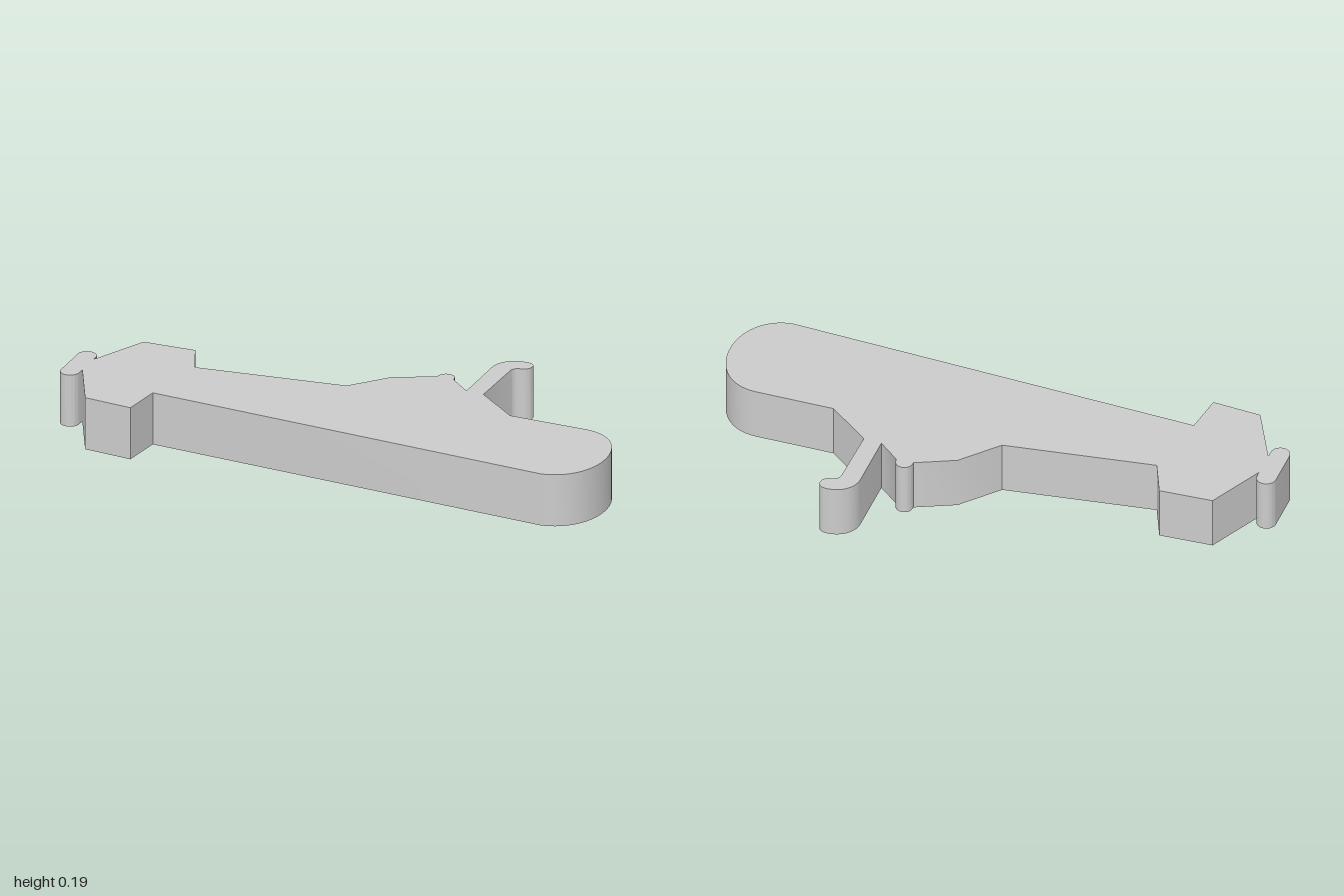
import * as THREE from 'three';
import { toCreasedNormals } from 'three/addons/utils/BufferGeometryUtils.js';

const HEIGHT = 0.193;

// Plan outline, drawn with the top of the vessel towards +y
function hullOutline() {
  const s = new THREE.Shape();
  const lines = (...points) => points.forEach(([x, y]) => s.lineTo(x, y));

  // rounded bow
  s.moveTo(0.845, -0.38);
  s.bezierCurveTo(0.94, -0.37, 1, -0.285, 1, -0.18);
  s.bezierCurveTo(1, -0.075, 0.94, 0.02, 0.835, 0.02);

  // deck and front of the tower
  lines([0.555, 0.02], [0.402, 0.143]);

  // periscope with a bent, rounded tip
  lines([0.406, 0.36]);
  s.quadraticCurveTo(0.408, 0.385, 0.435, 0.388);
  s.bezierCurveTo(0.472, 0.394, 0.475, 0.447, 0.43, 0.447);
  s.bezierCurveTo(0.375, 0.447, 0.337, 0.41, 0.337, 0.36);
  lines([0.337, 0.147]);

  // tower top with its small round hatch
  lines([0.26, 0.213]);
  s.absarc(0.228, 0.22, 0.03, 0, Math.PI, false);
  lines([0.198, 0.213], [0.06, 0.15], [-0.055, 0.02]);

  // tapering tail and upper fin
  lines([-0.59, -0.05], [-0.645, 0.08], [-0.835, 0.072], [-0.932, -0.13]);

  // propeller with rounded blade ends
  lines([-0.932, -0.11]);
  s.absarc(-0.966, -0.109, 0.034, 0, Math.PI, false);
  lines([-1, -0.251]);
  s.absarc(-0.966, -0.251, 0.034, Math.PI, Math.PI * 2, false);
  lines([-0.932, -0.225]);

  // lower fin and keel
  lines([-0.83, -0.432], [-0.655, -0.446], [-0.635, -0.302], [0.845, -0.38]);
  return s;
}

export function createModel() {
  const group = new THREE.Group();
  group.name = 'submarine';

  // one flat slab, laid down so the outline faces up
  const slab = new THREE.ExtrudeGeometry(hullOutline(), {
    depth: HEIGHT, bevelEnabled: false, curveSegments: 16,
  });
  slab.rotateX(-Math.PI / 2);

  const hull = new THREE.Mesh(
    toCreasedNormals(slab, 0.6),
    new THREE.MeshStandardMaterial({ color: 0xcccccc }),
  );
  hull.name = 'hull';
  group.add(hull);
  return group;
}
